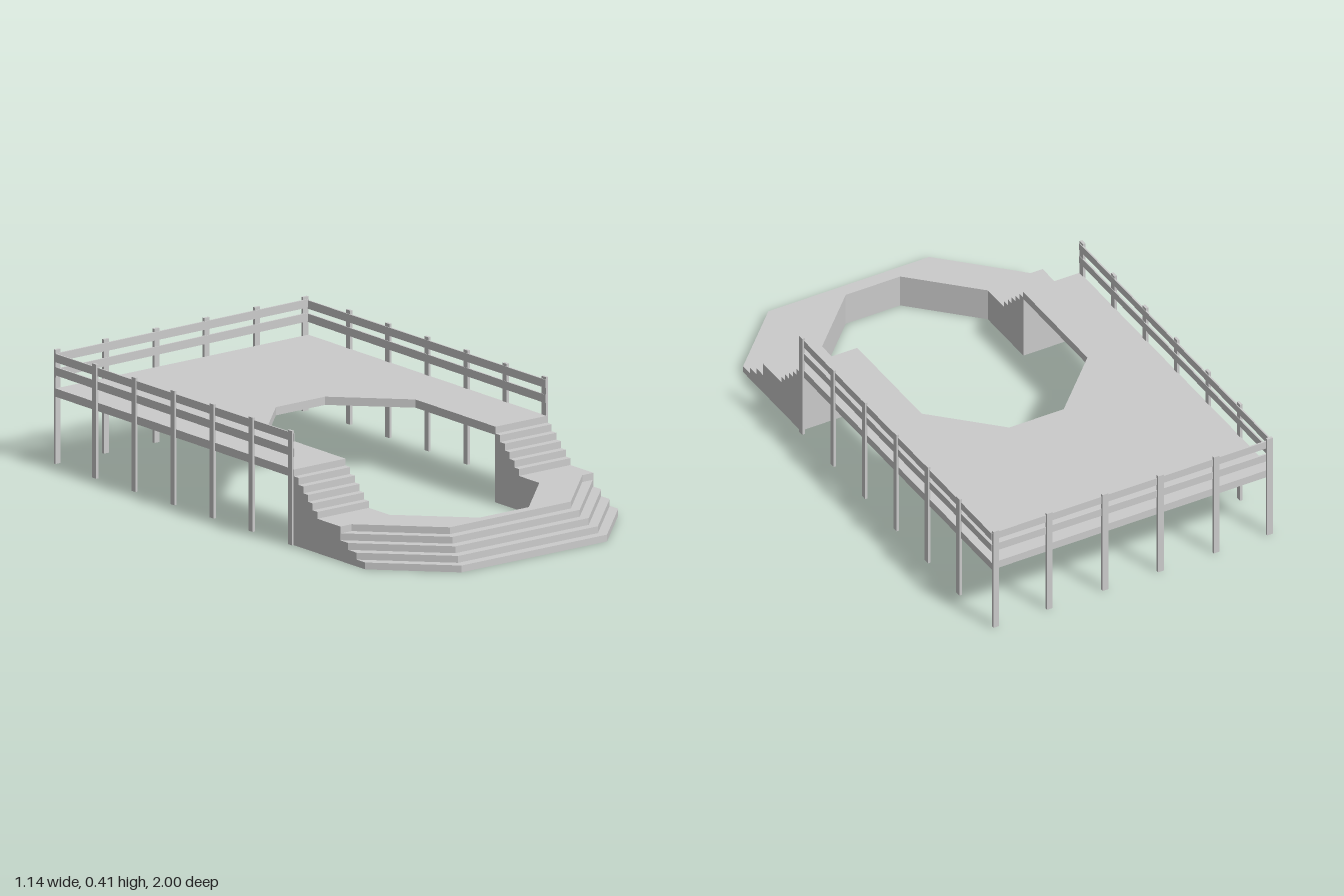
import * as THREE from 'three';

const material = new THREE.MeshStandardMaterial({ color: 0xcccccc, flatShading: true });

const HALF = 0.565;   // half width of the deck
const INNER = 0.335;  // half width of the pool opening
const BACK = -0.99;   // back edge of the deck
const JOIN = 0.355;   // where the upper deck meets the stairs
const RISE = 0.025;   // height of every step

function addMesh(parent, name, geometry) {
  const mesh = new THREE.Mesh(geometry, material);
  mesh.name = name;
  parent.add(mesh);
  return mesh;
}

// Horizontal slab from the [x, z] points of its +x half, mirrored to -x
function slab(half, bottom, top) {
  const points = [...half, ...half.map(([x, z]) => [-x, z]).reverse()];
  const shape = new THREE.Shape(points.map(([x, z]) => new THREE.Vector2(x, z)));
  return new THREE.ExtrudeGeometry(shape, { depth: top - bottom, bevelEnabled: false })
    .rotateX(Math.PI / 2)
    .translate(0, top, 0);
}

// Thin straight board between two points, [x, y, z] each
function rail(parent, name, from, to) {
  const a = new THREE.Vector3(...from), b = new THREE.Vector3(...to);
  const mesh = addMesh(parent, name, new THREE.BoxGeometry(0.006, 0.03, a.distanceTo(b)));
  mesh.position.copy(a).add(b).multiplyScalar(0.5);
  mesh.lookAt(b);
}

export function createModel() {
  const model = new THREE.Group();
  model.name = 'poolDeck';

  // Upper deck, wrapped around the back of the opening
  addMesh(model, 'upperDeck', slab([
    [0.11, -0.32], [INNER, -0.095], [INNER, JOIN], [HALF, JOIN], [HALF, BACK],
  ], 0.245, 0.275));

  // Lower platform: five stacked levels form the front steps
  const levels = [
    [[0.325, 1.0], [HALF, 0.76]],
    [[0.312, 0.965], [HALF, 0.712]],
    [[0.298, 0.931], [HALF, 0.664]],
    [[0.284, 0.898], [0.562, 0.62], [HALF, 0.62]],
    [[0.27, 0.865], [0.515, 0.62], [HALF, 0.62]],
  ];
  const lower = new THREE.Group();
  lower.name = 'lowerPlatform';
  model.add(lower);
  levels.forEach((front, i) => addMesh(lower, `platformStep${i + 1}`, slab([
    ...front, [HALF, JOIN], [INNER, JOIN], [INNER, 0.605], [0.11, 0.83],
  ], i * RISE, (i + 1) * RISE)));

  // Stair flights from the platform up to the deck, one on each side
  const steps = 6, baseY = 0.125, run = 0.0265, startZ = 0.49;
  const profile = new THREE.Shape().moveTo(JOIN, baseY).lineTo(startZ, baseY);
  for (let i = 0; i < steps; i++) {
    const y = baseY + (i + 1) * RISE;
    profile.lineTo(startZ - i * run, y - RISE);
    profile.lineTo(startZ - i * run, y);
  }
  profile.lineTo(JOIN, baseY + steps * RISE);
  for (const [name, x] of [['leftStairs', HALF], ['rightStairs', -INNER]]) {
    const flight = new THREE.ExtrudeGeometry(profile, { depth: HALF - INNER, bevelEnabled: false });
    addMesh(model, name, flight.rotateY(-Math.PI / 2).translate(x, 0, 0));
  }

  // Fence posts stand on the ground, outside the deck edge
  const postHeight = 0.415, postWidth = 0.023, postDepth = 0.01;
  const posts = new THREE.Group();
  posts.name = 'fencePosts';
  model.add(posts);
  for (const side of [1, -1]) {
    for (let i = 0; i < 6; i++) {
      addMesh(posts, 'sidePost', new THREE.BoxGeometry(postDepth, postHeight, postWidth))
        .position.set(side * 0.567, postHeight / 2, 0.343 - i * 0.221);
    }
  }
  for (const x of [-0.553, -0.337, -0.112, 0.112, 0.337, 0.553]) {
    addMesh(posts, 'backPost', new THREE.BoxGeometry(postWidth, postHeight, postDepth))
      .position.set(x, postHeight / 2, -0.995);
  }

  // Two rails along each fenced edge, slightly out of level
  const rails = new THREE.Group();
  rails.name = 'fenceRails';
  model.add(rails);
  for (const side of [1, -1]) {
    const x = side * 0.563;
    rail(rails, 'sideTopRail', [x, 0.391, JOIN], [x, 0.386, BACK]);
    rail(rails, 'sideLowerRail', [x, 0.336, JOIN], [x, 0.338, BACK]);
  }
  rail(rails, 'backTopRail', [-HALF, 0.387, BACK], [HALF, 0.39, BACK]);
  rail(rails, 'backLowerRail', [-HALF, 0.331, BACK], [HALF, 0.34, BACK]);

  return model;
}
